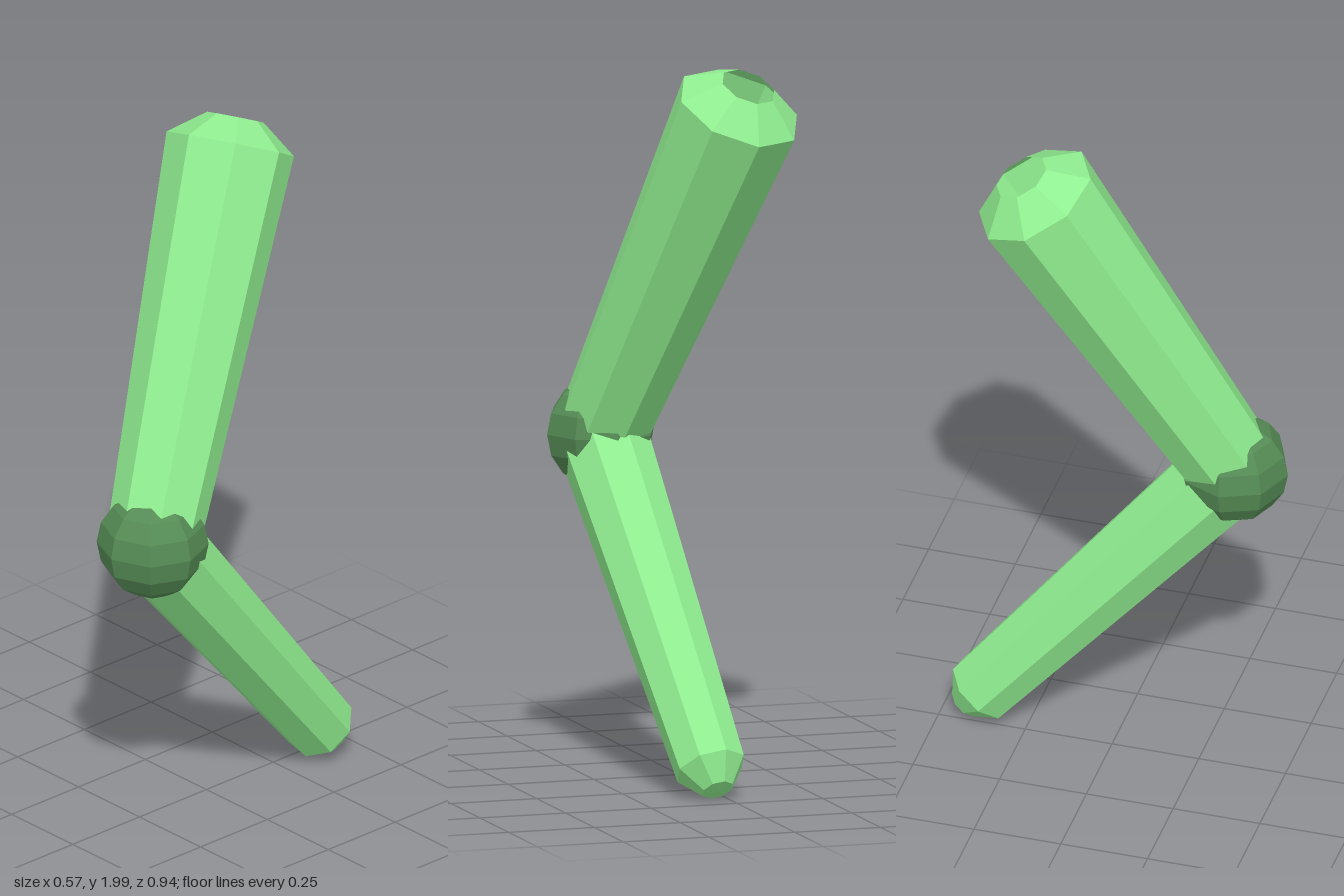
import * as THREE from 'three';

const SIDES = 8;
const UP = new THREE.Vector3(0, 1, 0);

// Faceted solid of revolution from [radius, height] pairs, bottom to top
function turned(name, profile, color) {
  const points = profile.map(([r, y]) => new THREE.Vector2(r, y));
  const material = new THREE.MeshStandardMaterial({ color, flatShading: true, side: THREE.DoubleSide });
  const mesh = new THREE.Mesh(new THREE.LatheGeometry(points, SIDES), material);
  mesh.name = name;
  return mesh;
}

// Tapered limb segment running from one joint to the rim of its far end
function limb(name, from, to, r0, r1, end, twist) {
  const axis = to.clone().sub(from);
  const length = axis.length();
  const profile = [[r0, 0], [r1, length], ...end.map(([r, h]) => [r, length + h])];
  const mesh = turned(name, profile, 0x90ee90);
  mesh.position.copy(from);
  mesh.quaternion.setFromUnitVectors(UP, axis.normalize());
  mesh.rotateY(twist);
  return mesh;
}

export function createModel() {
  const group = new THREE.Group();
  group.name = 'leg';

  const knee = new THREE.Vector3(0.125, 0.925, 0.315);
  const hip = new THREE.Vector3(-0.11, 1.9, -0.19);
  const ankle = new THREE.Vector3(0.04, 0.09, -0.39);

  // Upper leg: bevelled end with an open socket
  group.add(limb('upperLeg', knee, hip, 0.13, 0.18, [[0.08, 0.075]], 0.08));

  // Lower leg: bevelled, closed tip
  group.add(limb('lowerLeg', knee, ankle, 0.13, 0.1, [[0.045, 0.07], [0, 0.074]], 0));

  // Knee: ball with flattened poles
  const R = 0.155;
  const ball = [];
  for (let i = -3; i <= 3; i++) {
    const a = (i * Math.PI) / 8;
    ball.push([R * Math.cos(a), R * Math.sin(a)]);
  }
  const pole = ball[6][1];
  const kneeBall = turned('knee', [[0, -pole], ...ball, [0, pole]], 0x558b55);
  kneeBall.position.copy(knee);
  group.add(kneeBall);

  return group;
}
